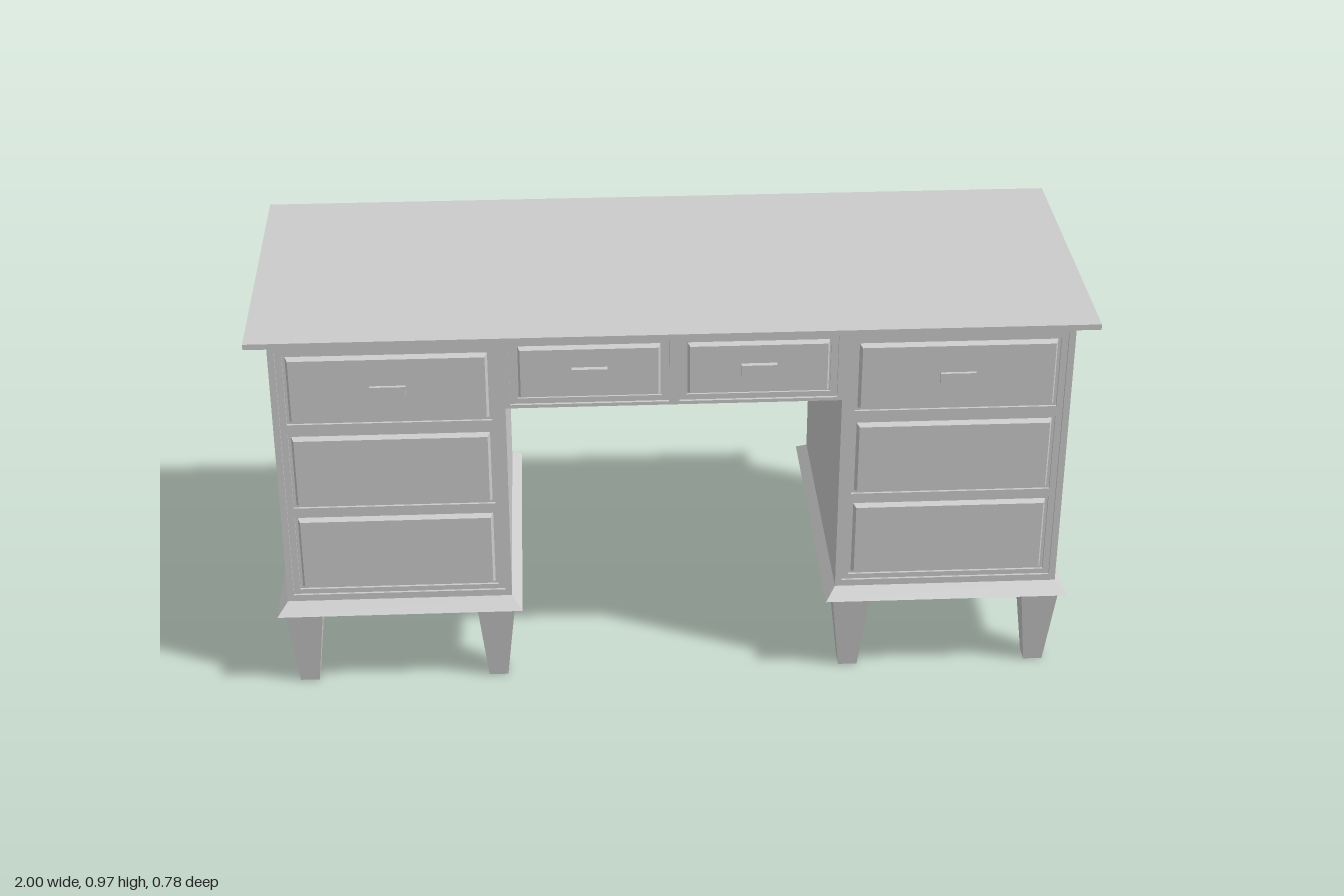
import * as THREE from 'three';

const material = new THREE.MeshStandardMaterial({ color: 0xcccccc, flatShading: true });

function add(parent, name, geometry, x = 0, y = 0, z = 0) {
  const mesh = new THREE.Mesh(geometry, material);
  mesh.name = name;
  mesh.position.set(x, y, z);
  parent.add(mesh);
  return mesh;
}

// Box resting on y = 0 whose top may differ in size from its bottom
function taperedBox(bottomW, bottomD, topW, topD, height) {
  const geometry = new THREE.BoxGeometry(1, height, 1).translate(0, height / 2, 0);
  const p = geometry.attributes.position;
  for (let i = 0; i < p.count; i++) {
    const top = p.getY(i) > height / 2;
    p.setX(i, p.getX(i) * (top ? topW : bottomW));
    p.setZ(i, p.getZ(i) * (top ? topD : bottomD));
  }
  geometry.computeVertexNormals();
  return geometry;
}

// Rectangle given by [centre x, centre y, width, height]
function rectangle([x, y, w, h], Type = THREE.Shape) {
  return new Type([
    new THREE.Vector2(x - w / 2, y - h / 2), new THREE.Vector2(x + w / 2, y - h / 2),
    new THREE.Vector2(x + w / 2, y + h / 2), new THREE.Vector2(x - w / 2, y + h / 2),
  ]);
}

function panel(outer, holes, depth) {
  const shape = rectangle(outer);
  shape.holes = holes.map((hole) => rectangle(hole, THREE.Path));
  return new THREE.ExtrudeGeometry(shape, { depth, bevelEnabled: false });
}

// Drawer front with chamfered edges, laid against the plane z = 0
function drawerFront([x, y, w, h], depth, chamfer) {
  return taperedBox(w, h, w - 2 * chamfer, h - 2 * chamfer, depth)
    .rotateX(Math.PI / 2).translate(x, y, 0);
}

export function createModel() {
  const desk = new THREE.Group();
  desk.name = 'desk';

  // Tabletop: thin slab over a bevelled underside
  add(desk, 'tabletop', new THREE.BoxGeometry(2, 0.014, 0.784), 0, 0.963, 0);
  add(desk, 'tabletopBevel', taperedBox(1.94, 0.72, 2, 0.784, 0.007), 0, 0.949, 0);

  // Carcass: two pedestals joined above the kneehole
  const outline = new THREE.Shape([
    [-0.95, 0.24], [-0.4, 0.24], [-0.4, 0.765], [0.4, 0.765],
    [0.4, 0.24], [0.95, 0.24], [0.95, 0.952], [-0.95, 0.952],
  ].map(([x, y]) => new THREE.Vector2(x, y)));
  add(desk, 'carcass', new THREE.ExtrudeGeometry(outline, { depth: 0.698, bevelEnabled: false }), 0, 0, -0.355);

  for (const side of [-1, 1]) {
    const half = new THREE.Group();
    half.name = side > 0 ? 'leftHalf' : 'rightHalf';
    desk.add(half);
    const cx = side * 0.675;

    // Pedestal front: outer frame, inset rails and three drawers
    const opening = [cx, 0.594, 0.518, 0.674];
    add(half, 'pedestalFrame', panel([cx, 0.596, 0.55, 0.712], [opening], 0.012), 0, 0, 0.343);
    const gaps = [[0.824, 0.186], [0.602, 0.202], [0.374, 0.208]].map(([y, h]) => [cx, y, 0.486, h]);
    add(half, 'drawerRails', panel(opening, gaps, 0.006), 0, 0, 0.343);
    for (const [x, y, w, h] of gaps) {
      add(half, 'pedestalDrawer', drawerFront([x, y, w - 0.014, h - 0.014], 0.014, 0.006), 0, 0, 0.343);
    }
    add(half, 'pedestalHandle', new THREE.BoxGeometry(0.085, 0.029, 0.012), cx, 0.82, 0.359);

    // Centre drawer beside the midline
    const dx = side * 0.2;
    const gap = [dx, 0.857, 0.376, 0.167];
    add(half, 'centreFrame', panel([dx, 0.8585, 0.4, 0.187], [gap], 0.012), 0, 0, 0.343);
    const inner = [dx, 0.857, 0.342, 0.139];
    add(half, 'centreRim', panel(gap, [inner], 0.005), 0, 0, 0.343);
    add(half, 'centreDrawer', drawerFront([dx, 0.857, 0.336, 0.133], 0.014, 0.005), 0, 0, 0.343);
    add(half, 'centreHandle', new THREE.BoxGeometry(0.085, 0.029, 0.016), side * 0.2, 0.857, 0.362);

    // Flared plinth and four tapered legs
    add(half, 'plinth', taperedBox(0.6, 0.78, 0.55, 0.71, 0.025), cx, 0.215, 0);
    for (const x of [0.44, 0.912]) {
      for (const z of [0.324, -0.317]) {
        add(half, 'leg', taperedBox(0.047, 0.047, 0.093, 0.093, 0.215), side * x, 0, z);
      }
    }
  }
  return desk;
}
